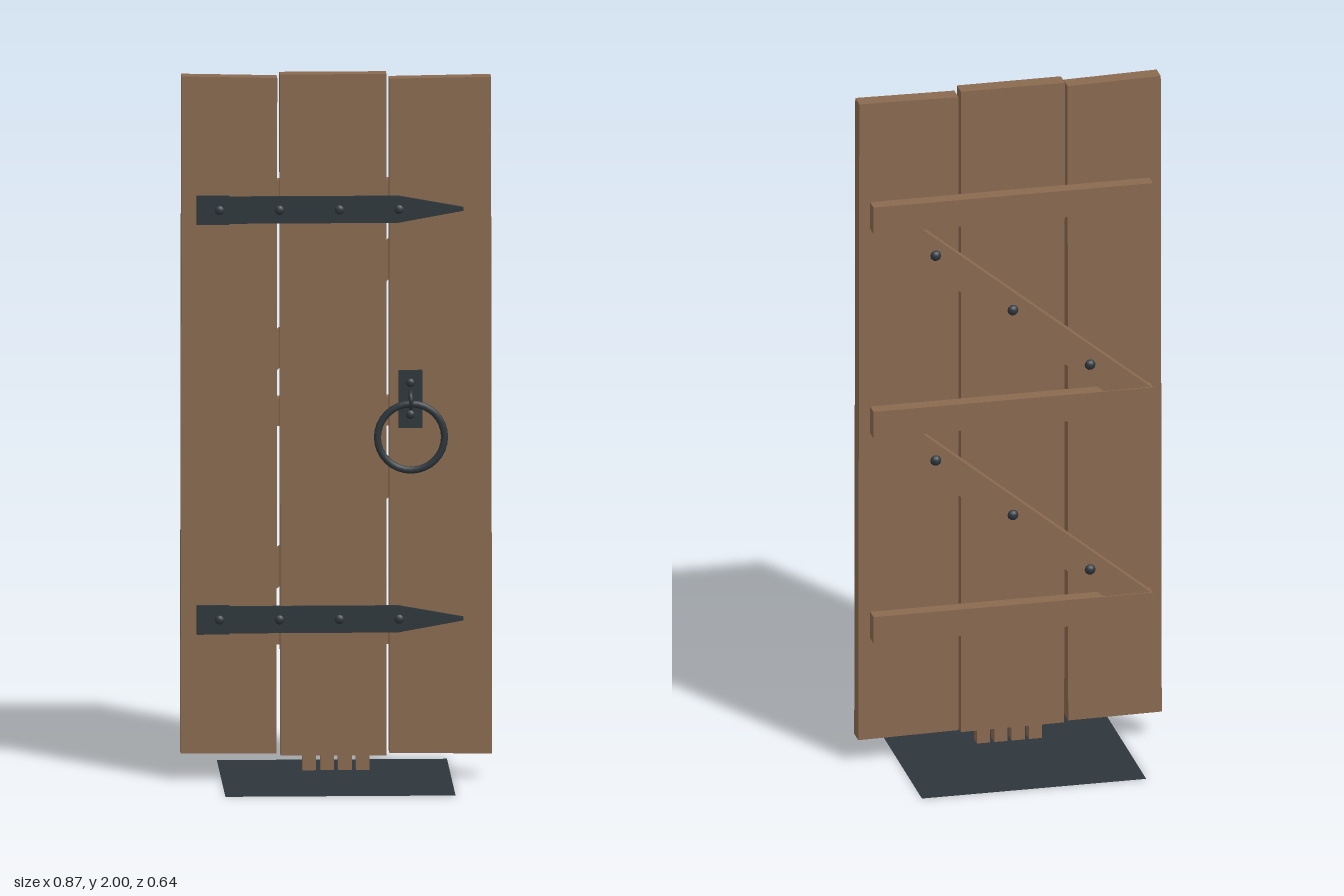
import * as THREE from 'three';

export function createModel() {
  const door = new THREE.Group();
  door.name = 'plankDoor';

  const wood = new THREE.MeshStandardMaterial({ color: 0x8a6a50 });
  wood.name = 'brown wood';
  const iron = new THREE.MeshStandardMaterial({ color: 0x2d363c, side: THREE.DoubleSide });
  iron.name = 'dark iron';

  function add(name, geometry, material, x = 0, y = 0, z = 0) {
    const mesh = new THREE.Mesh(geometry, material);
    mesh.name = name;
    mesh.position.set(x, y, z);
    door.add(mesh);
    return mesh;
  }
  // Box given by its limits on each axis
  function block(name, material, [x0, x1], [y0, y1], [z0, z1]) {
    return add(name, new THREE.BoxGeometry(x1 - x0, y1 - y0, z1 - z0), material,
      (x0 + x1) / 2, (y0 + y1) / 2, (z0 + z1) / 2);
  }
  // Flat outline extruded from z0 to z1
  function slab(name, material, points, z0, z1) {
    const shape = new THREE.Shape(points.map(([x, y]) => new THREE.Vector2(x, y)));
    return add(name, new THREE.ExtrudeGeometry(shape, { depth: z1 - z0, bevelEnabled: false }), material, 0, 0, z0);
  }
  // Low domed nail head facing front (+1) or back (-1)
  function nail(name, x, y, z, radius, height, facing) {
    const dome = new THREE.SphereGeometry(radius, 10, 5, 0, Math.PI * 2, 0, Math.PI / 2);
    dome.scale(1, height / radius, 1);
    dome.rotateX(facing * Math.PI / 2);
    add(name, dome, iron, x, y, z);
  }

  // Floor plate
  const floor = new THREE.PlaneGeometry(0.645, 0.645);
  floor.rotateX(-Math.PI / 2);
  add('floorPlate', floor, iron);

  // Three upright planks with slightly uneven ends
  slab('leftPlank', wood, [[-0.437, 0.076], [-0.168, 0.074], [-0.166, 1.99], [-0.434, 1.996]], -0.026, 0.024);
  slab('middlePlank', wood, [[-0.157, 0.068], [0.14, 0.066], [0.14, 2], [-0.159, 2]], -0.023, 0.026);
  slab('rightPlank', wood, [[0.148, 0.074], [0.436, 0.07], [0.433, 1.99], [0.148, 1.986]], -0.026, 0.024);

  // Splintered teeth under the middle plank
  for (let i = 0; i < 4; i++) {
    const x = -0.076 + i * 0.05;
    block('splinter', wood, [x - 0.019, x + 0.019], [0.025, 0.08], [-0.018, 0.02]);
  }

  // Back rails
  for (const y of [0.415, 1.035, 1.652]) {
    block('backRail', wood, [-0.402, 0.402], [y - 0.04, y + 0.04], [-0.068, -0.025]);
  }

  // Diagonal braces between the rails, with nails
  for (const [bottom, top] of [[0.452, 0.998], [1.072, 1.615]]) {
    slab('diagonalBrace', wood, [[-0.4, bottom], [-0.265, bottom], [0.4, top], [0.265, top]], -0.063, -0.025);
    for (const side of [-1, 0, 1]) {
      nail('braceNail', side * 0.222, (bottom + top) / 2 + side * 0.185, -0.062, 0.016, 0.013, -1);
    }
  }

  // Pointed hinge straps
  for (const y of [0.455, 1.617]) {
    slab('hingeStrap', iron, [
      [-0.39, y - 0.038], [0.172, y - 0.038], [0.355, y - 0.005],
      [0.355, y + 0.005], [0.172, y + 0.038], [-0.39, y + 0.038],
    ], 0.022, 0.036);
    block('hingeEnd', iron, [-0.392, -0.3], [y - 0.041, y + 0.041], [0.022, 0.037]);
    for (const x of [-0.328, -0.16, 0.008, 0.175]) {
      nail('strapNail', x, y, 0.035, 0.014, 0.008, 1);
    }
  }

  // Ring handle on its backing plate
  const hx = 0.207;
  block('handlePlate', iron, [hx - 0.033, hx + 0.033], [0.997, 1.16], [0.022, 0.035]);
  for (const y of [1.035, 1.125]) nail('handleNail', hx, y, 0.034, 0.013, 0.008, 1);
  const staple = add('handleStaple', new THREE.TorusGeometry(0.023, 0.006, 8, 20), iron, hx, 1.08, 0.056);
  staple.rotation.y = Math.PI / 2;
  add('handleRing', new THREE.TorusGeometry(0.094, 0.01, 8, 32), iron, hx, 0.977, 0.071);

  return door;
}
